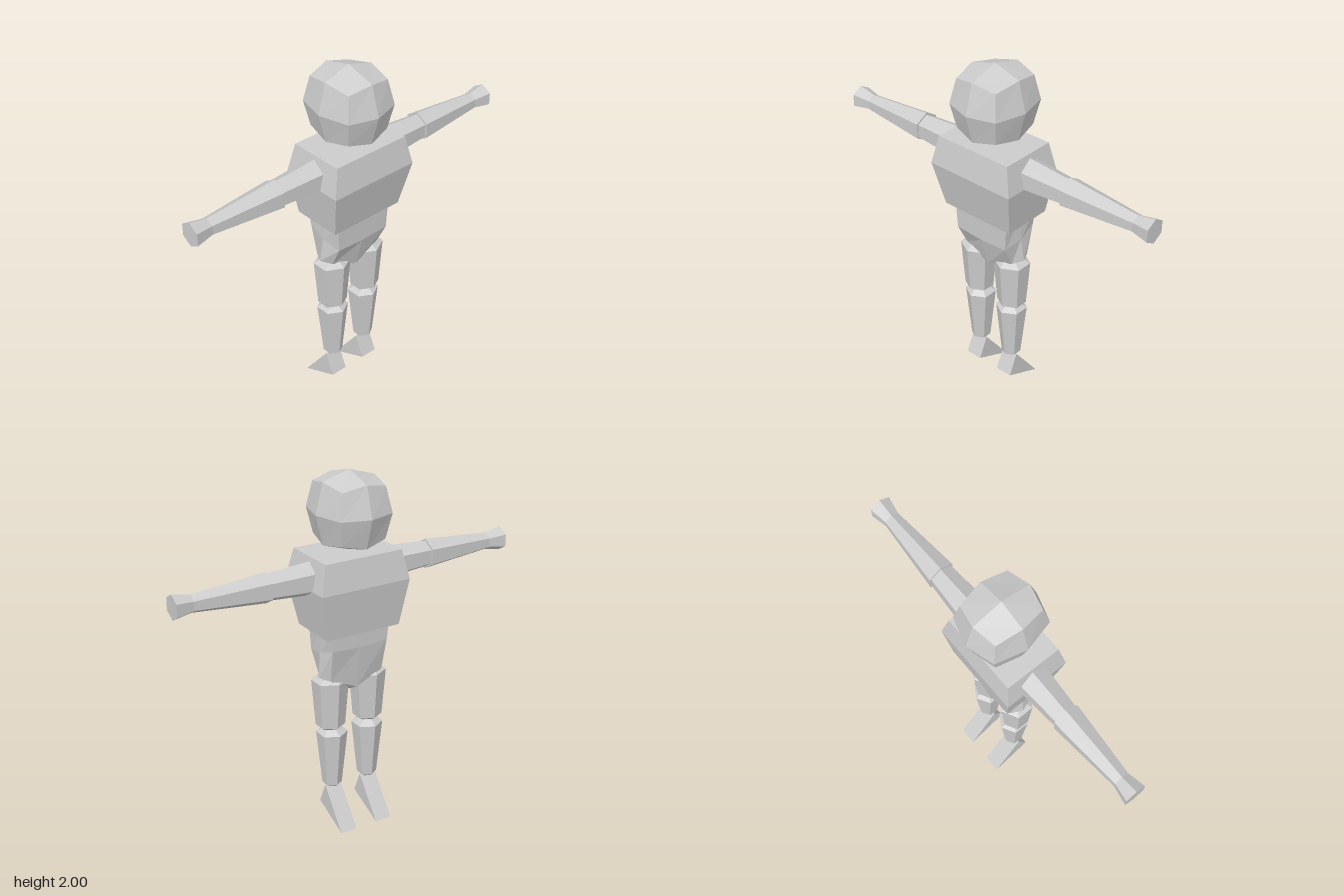
import * as THREE from 'three';

const material = new THREE.MeshStandardMaterial({ color: 0xcccccc, flatShading: true });

function part(name, geometry) {
  const mesh = new THREE.Mesh(geometry, material);
  mesh.name = name;
  return mesh;
}

// Closed flat-sided skin through rings (bottom to top); each ring is given as its
// +x half from front centre to back centre and mirrored.
function loft(halves, bottom, top) {
  const rings = halves.map(h => [...h, ...h.slice(1, -1).reverse().map(([x, y, z]) => [-x, y, z])]);
  const n = rings[0].length, pos = [];
  const tri = (...pts) => pts.forEach(p => pos.push(...p));
  for (let j = 0; j < n; j++) {
    const k = (j + 1) % n, last = rings[rings.length - 1];
    for (let i = 0; i < rings.length - 1; i++) {
      const lo = rings[i], hi = rings[i + 1];
      tri(lo[j], lo[k], hi[k]);
      tri(lo[j], hi[k], hi[j]);
    }
    tri(bottom, rings[0][k], rings[0][j]);
    tri(top, last[j], last[k]);
  }
  const g = new THREE.BufferGeometry();
  g.setAttribute('position', new THREE.Float32BufferAttribute(pos, 3));
  g.computeVertexNormals();
  return g;
}

// Six-sided limb segment from [radius, height] points
function hexLimb(profile, phiStart = 0) {
  return new THREE.LatheGeometry(profile.map(p => new THREE.Vector2(...p)), 6, phiStart);
}

// Faceted head: a 2x2x2 box with its edges and corners pulled in
function headGeometry() {
  const g = new THREE.BoxGeometry(2, 2, 2, 2, 2, 2);
  const p = g.attributes.position, v = new THREE.Vector3();
  for (let i = 0; i < p.count; i++) {
    v.fromBufferAttribute(p, i);
    const pull = [1, 1, 0.78, 0.655][Math.round(v.lengthSq())];
    p.setXYZ(i, v.x * pull * 0.198, v.y * pull * 0.212, v.z * pull * 0.218);
  }
  g.computeVertexNormals();
  return g;
}

const boxRing = (x, y, front, back) =>
  [[0, y, front], [x, y, front], [x, y, 0], [x, y, back], [0, y, back]];

function createArm(side) {
  const arm = new THREE.Group();
  arm.name = side > 0 ? 'leftArm' : 'rightArm';
  const turn = Math.PI / 2;
  arm.add(
    part('upperArm', hexLimb([[0, 0.2], [0.095, 0.2], [0.073, 0.49], [0, 0.49]], turn)),
    part('forearm', hexLimb([[0, 0.488], [0.084, 0.488], [0.048, 0.9]], turn)),
    part('hand', hexLimb([[0.048, 0.9], [0.068, 1], [0, 1]], turn)));
  arm.rotation.z = -side * Math.PI / 2;
  arm.position.set(0, 1.457, 0.004);
  return arm;
}

function createLeg(side) {
  const leg = new THREE.Group();
  leg.name = side > 0 ? 'leftLeg' : 'rightLeg';
  const thigh = part('thigh', hexLimb([[0, 0.575], [0.045, 0.575], [0.076, 0.595], [0.096, 0.862], [0.05, 0.89], [0, 0.89]]));
  thigh.scale.x = 1.08;
  thigh.position.x = side * 0.005;
  const shin = part('shin', hexLimb([[0, 0.205], [0.02, 0.212], [0.054, 0.235], [0.086, 0.55], [0.045, 0.577], [0, 0.577]]));
  shin.position.z = -0.006;

  // Wedge foot, profile drawn in z and y
  const wedge = new THREE.Shape([[0.052, 0.1], [-0.175, 0], [-0.004, 0.225]].map(p => new THREE.Vector2(...p)));
  const footGeometry = new THREE.ExtrudeGeometry(wedge, { depth: 0.098, bevelEnabled: false });
  footGeometry.translate(0, 0, -0.049).rotateY(-Math.PI / 2);
  const foot = part('foot', footGeometry);
  foot.position.x = -0.005;

  leg.add(thigh, shin, foot);
  leg.position.x = side * 0.114;
  return leg;
}

export function createModel() {
  const model = new THREE.Group();
  model.name = 'figure';

  const head = part('head', headGeometry());
  head.position.y = 1.784;

  const torso = part('torso', loft([
    boxRing(0.222, 1.155, 0.143, -0.143),
    boxRing(0.265, 1.412, 0.2, -0.175),
    boxRing(0.23, 1.572, 0.172, -0.148),
  ], [0, 1.155, 0], [0, 1.572, 0]));

  // Hips narrow to a low point between the legs
  const pelvis = part('pelvis', loft([
    [[0, 0.82, 0.06], [0.16, 0.885, 0.05], [0.195, 0.89, -0.01], [0.16, 0.885, -0.075], [0, 0.82, -0.08]],
    [[0, 1.0, 0.112], [0.168, 1.01, 0.112], [0.182, 1.03, 0], [0.168, 1.07, -0.112], [0, 1.06, -0.112]],
    boxRing(0.178, 1.165, 0.115, -0.115),
  ], [0, 0.78, -0.01], [0, 1.165, 0]));

  model.add(head, torso, pelvis);
  for (const side of [1, -1]) model.add(createArm(side), createLeg(side));
  return model;
}
